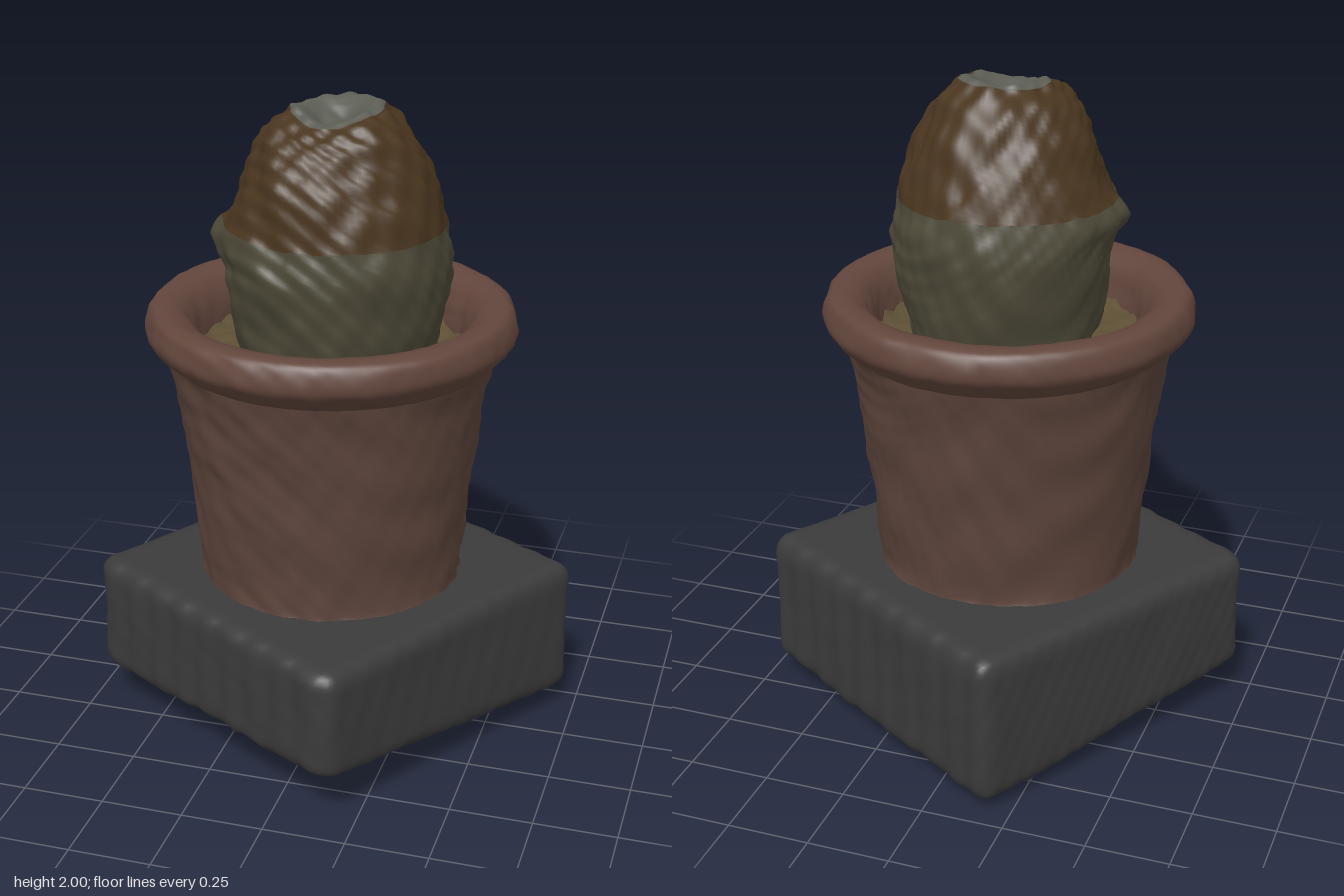
import * as THREE from 'three';
import { mergeVertices } from 'three/addons/utils/BufferGeometryUtils.js';

// Smooth repeatable roughness, roughly -1..1
function rough(x, y, z) {
  return (Math.sin(17 * x + 5 * y + 3) * Math.sin(13 * y - 4 * z + 1)
    + Math.sin(19 * z + 8 * x) * Math.sin(23 * y + 7 * x + 2)
    + Math.sin(41 * x - 12 * z) * Math.sin(37 * z + 29 * y)
    + Math.sin(67 * x + 31 * y) * Math.sin(71 * z - 53 * y)) / 2;
}

// Rounded bump of height 1 around zero
const bump = (d2, width) => Math.exp(-d2 / (width * width));

// Move every vertex by a rule, with seams welded so the shading stays smooth
function reshape(geometry, rule) {
  geometry.deleteAttribute('uv');
  geometry.deleteAttribute('normal');
  const g = mergeVertices(geometry, 1e-4);
  const p = g.attributes.position;
  const v = new THREE.Vector3();
  for (let i = 0; i < p.count; i++) {
    rule(v.fromBufferAttribute(p, i));
    p.setXYZ(i, v.x, v.y, v.z);
  }
  g.computeVertexNormals();
  return g;
}

function part(name, geometry, color) {
  const mesh = new THREE.Mesh(geometry, new THREE.MeshStandardMaterial({ color }));
  mesh.name = name;
  return mesh;
}

// Lathe along a smooth profile of [radius, height], with a rough surface and an optional extra rule
function turned(profile, amount, { steps = 6, lift = 0, rule = () => {} } = {}) {
  const curve = new THREE.SplineCurve(profile.map(([r, y]) => new THREE.Vector2(r, y)));
  const path = curve.getPoints((profile.length - 1) * steps);
  path.forEach(p => { p.x = Math.max(p.x, 0); });
  return reshape(new THREE.LatheGeometry(path, 96), v => {
    const n = rough(v.x, v.y, v.z);
    const k = 1 + amount * n / Math.max(Math.hypot(v.x, v.z), 0.1);
    v.x *= k;
    v.z *= k;
    v.y += lift * n;
    rule(v);
  });
}

// Square block with rounded edges and a sloping, worn underside
function blockGeometry() {
  const half = new THREE.Vector3(0.532, 0.2, 0.536);
  const radius = 0.055;
  const inner = half.clone().subScalar(radius);
  const outer = inner.clone().negate();
  const up = new THREE.Vector3(0, 1, 0);
  const core = new THREE.Vector3();
  const box = new THREE.BoxGeometry(half.x * 2, half.y * 2, half.z * 2, 60, 20, 60);
  return reshape(box, v => {
    core.copy(v).clamp(outer, inner);
    v.sub(core).normalize().multiplyScalar(radius).add(core);
    const t = (v.y + half.y) / (2 * half.y);
    v.applyAxisAngle(up, -0.535);
    // Fine upright ribs on the sides
    const k = 1 + 0.006 * Math.sin(47 * v.x + 31 * v.z) + 0.005 * rough(v.x, t * 0.3, v.z);
    v.x *= k;
    v.z *= k;
    // Underside rises to the front, with a shallow hollow and one small foot
    const bottom = Math.max(0.035, 0.09 + 0.105 * v.z - 0.015 * v.x)
      + 0.008 * rough(v.x, 0, v.z)
      + 0.03 * bump(v.x ** 2 + (v.z - 0.1) ** 2, 0.2)
      - 0.06 * bump((v.x + 0.2) ** 2 + (v.z + 0.4) ** 2, 0.05);
    v.y = Math.max(0, THREE.MathUtils.lerp(bottom, 0.512, t));
  });
}

export function createModel() {
  const model = new THREE.Group();
  model.name = 'pottedCactus';

  // Stone block under the pot
  model.add(part('baseBlock', blockGeometry(), 0x3a3b3a));

  // Clay pot: tapered wall, thick rim flaring to a flat top, and inner wall
  const pot = new THREE.Group();
  pot.name = 'pot';
  pot.position.x = -0.008;
  pot.add(part('potWall', turned(
    [[0.408, 0.5], [0.402, 0.55], [0.427, 0.8], [0.45, 1.0], [0.468, 1.13], [0.49, 1.225]],
    0.007, { steps: 8 }), 0x5c443b));
  pot.add(part('potRim', turned(
    [[0.488, 1.22], [0.515, 1.245], [0.55, 1.285], [0.552, 1.325], [0.534, 1.366],
      [0.495, 1.376], [0.445, 1.36], [0.412, 1.32], [0.395, 1.27], [0.385, 1.215]],
    0.005), 0x62463c));

  // Gritty soil, banked up against the pot
  pot.add(part('soil', turned([[0.393, 1.245], [0.35, 1.23], [0.2, 1.225], [0, 1.225]],
    0.003, { lift: 0.01 }), 0x5e5036));
  model.add(pot);

  // Egg-shaped cactus: pale lower body, brown upper body, sunken grey crown
  const cactus = new THREE.Group();
  cactus.name = 'cactus';
  cactus.position.set(0.03, 0, 0.055);
  const sections = [
    ['cactusLowerBody', [[0.275, 1.2], [0.308, 1.35], [0.328, 1.48], [0.33, 1.55], [0.315, 1.64]], 0x4d4938],
    ['cactusUpperBody', [[0.315, 1.64], [0.285, 1.75], [0.245, 1.85], [0.195, 1.93], [0.135, 1.98]], 0x4a361f],
    ['cactusCrown', [[0.135, 1.98], [0.105, 1.985], [0.075, 1.97], [0.04, 1.945], [0, 1.94]], 0x5c5d54],
  ];
  // Slight lean to the front, a ledge on the right flank and a crown that dips forward
  const rule = v => {
    if (v.x < 0) v.x -= 0.4 * v.x * v.x * bump((v.y - 1.6) ** 2, 0.05);
    v.y -= 0.035 * bump(v.x ** 2 + (v.z - 0.13) ** 2, 0.09) * THREE.MathUtils.smoothstep(v.y, 1.85, 1.95);
    v.z += 0.05 * Math.max(0, v.y - 1.45);
  };
  for (const [name, profile, color] of sections)
    cactus.add(part(name, turned(profile, 0.01, { steps: 8, lift: 0.008, rule }), color));
  model.add(cactus);

  return model;
}
